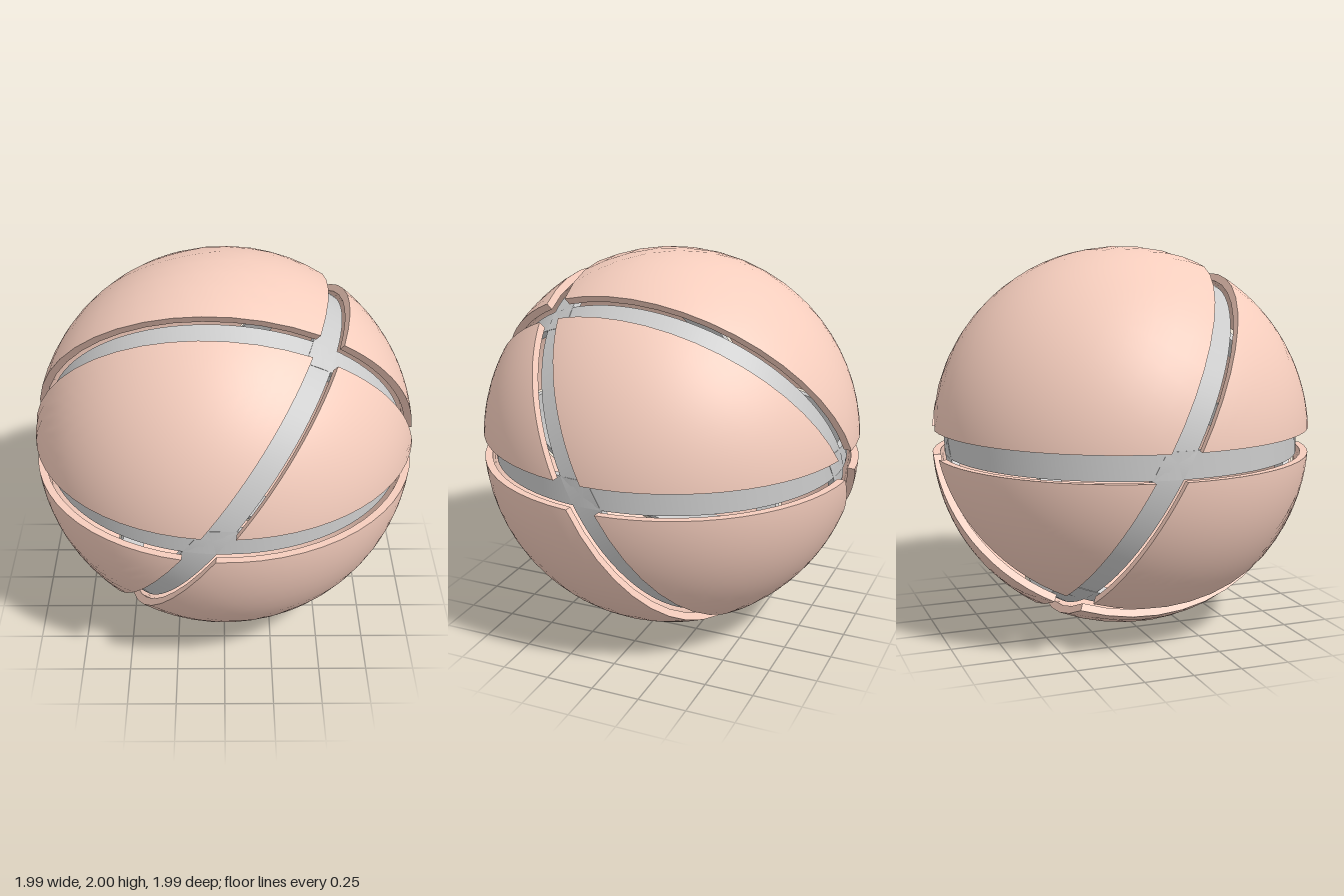
import * as THREE from 'three';
import { mergeGeometries, toCreasedNormals } from 'three/addons/utils/BufferGeometryUtils.js';

const OUTER = 1, INNER = 0.96;            // shell radii
const BAND_OUT = 0.935, BAND_IN = 0.9;    // band radii
const HALF_GAP = 0.067;                   // half width of every groove
const EDGE_STEPS = 14, RADIAL_STEPS = 9;

// Normals of the three cutting planes: one level, two tilted and turned slightly
const YAW = 0.078;
const planes = [
  new THREE.Vector3(0, 1, 0),
  new THREE.Vector3(0.817, -0.576, 0.817 * YAW).normalize(),
  new THREE.Vector3(-0.886 * YAW, -0.463, 0.886).normalize(),
];

// Surface through rows of points; side = 1 or -1 gives radial normals, 0 gives flat ones
function sheet(rows, side) {
  const cols = rows[0].length, pos = [], nor = [], idx = [];
  for (const p of rows.flat()) {
    pos.push(p.x, p.y, p.z);
    const n = p.clone().normalize().multiplyScalar(side);
    nor.push(n.x, n.y, n.z);
  }
  for (let i = 0; i < rows.length - 1; i++) {
    for (let j = 0; j < cols - 1; j++) {
      const a = i * cols + j, b = a + cols;
      if (side < 0) idx.push(a, b + 1, b, a, a + 1, b + 1);
      else idx.push(a, b, b + 1, a, b + 1, a + 1);
    }
  }
  const g = new THREE.BufferGeometry();
  g.setAttribute('position', new THREE.Float32BufferAttribute(pos, 3));
  g.setAttribute('normal', new THREE.Float32BufferAttribute(nor, 3));
  g.setIndex(idx);
  if (side === 0) g.computeVertexNormals();
  return g;
}

// Corner of a piece: where groove walls i and j meet the sphere, on the k side
function corner(n, i, j, k, r) {
  const g = n[i].dot(n[j]), f = HALF_GAP / (1 + g);
  const base = n[i].clone().add(n[j]).multiplyScalar(f);
  const dir = n[i].clone().cross(n[j]).normalize();
  if (dir.dot(n[k]) < 0) dir.negate();
  return base.addScaledVector(dir, Math.sqrt(r * r - base.lengthSq()));
}

// Arc from p to q along the groove wall with normal n
function wallArc(n, p, q) {
  const c = n.clone().multiplyScalar(HALF_GAP);
  const a = p.clone().sub(c), b = q.clone().sub(c), w = a.angleTo(b);
  return Array.from({ length: EDGE_STEPS + 1 }, (_, s) => {
    const t = s / EDGE_STEPS;
    return c.clone()
      .addScaledVector(a, Math.sin((1 - t) * w) / Math.sin(w))
      .addScaledVector(b, Math.sin(t * w) / Math.sin(w));
  });
}

// Three border arcs of one piece at radius r, counter-clockwise from outside
function border(n, r) {
  const c = [0, 1, 2].map(k => corner(n, (k + 1) % 3, (k + 2) % 3, k, r));
  const ccw = c[0].dot(c[1].clone().cross(c[2])) > 0;
  const order = ccw ? [0, 1, 2] : [0, 2, 1];
  return order.map((a, s) => {
    const b = order[(s + 1) % 3];
    return wallArc(n[3 - a - b], c[a], c[b]);
  });
}

// Fills a border with a spherical patch
function patch(arcs, r, side) {
  const rim = arcs.flatMap((arc, s) => (s ? arc.slice(1) : arc));
  const mid = new THREE.Vector3();
  arcs.forEach(arc => mid.add(arc[0]));
  mid.setLength(r);
  const rows = [];
  for (let i = 0; i <= RADIAL_STEPS; i++) {
    rows.push(rim.map(p => mid.clone().lerp(p, i / RADIAL_STEPS).setLength(r)));
  }
  return sheet(rows, side);
}

function shellPiece(signs) {
  const n = planes.map((p, i) => p.clone().multiplyScalar(signs[i]));
  const out = border(n, OUTER), inn = border(n, INNER);
  return mergeGeometries([
    patch(out, OUTER, 1),
    patch(inn, INNER, -1),
    ...out.map((arc, s) => sheet([arc, inn[s]], 0)),
  ]);
}

// Flat hoop lying in the groove
function bandGeometry() {
  const ring = new THREE.Shape().absarc(0, 0, BAND_OUT, 0, Math.PI * 2);
  ring.holes.push(new THREE.Path().absarc(0, 0, BAND_IN, 0, Math.PI * 2, true));
  const g = new THREE.ExtrudeGeometry(ring, {
    depth: HALF_GAP * 2, bevelEnabled: false, curveSegments: 48,
  });
  g.translate(0, 0, -HALF_GAP);
  return toCreasedNormals(g, 0.6);
}

export function createModel() {
  const model = new THREE.Group();
  model.name = 'splitSphere';
  const shellMat = new THREE.MeshStandardMaterial({ color: 0xf5cdbd });
  const bandMat = new THREE.MeshStandardMaterial({ color: 0xcccccc });

  // Eight shell pieces, one for each side of the three planes
  const shell = new THREE.Group();
  shell.name = 'shell';
  for (const a of [1, -1]) for (const b of [1, -1]) for (const c of [1, -1]) {
    const mesh = new THREE.Mesh(shellPiece([a, b, c]), shellMat);
    mesh.name = `shellPiece${shell.children.length + 1}`;
    shell.add(mesh);
  }

  // Three crossing bands
  const bands = new THREE.Group();
  bands.name = 'bands';
  const hoop = bandGeometry();
  ['levelBand', 'sideTiltedBand', 'frontTiltedBand'].forEach((name, i) => {
    const mesh = new THREE.Mesh(hoop, bandMat);
    mesh.name = name;
    mesh.quaternion.setFromUnitVectors(new THREE.Vector3(0, 0, 1), planes[i]);
    bands.add(mesh);
  });

  model.add(shell, bands);
  shell.position.y = bands.position.y = 1;
  return model;
}
